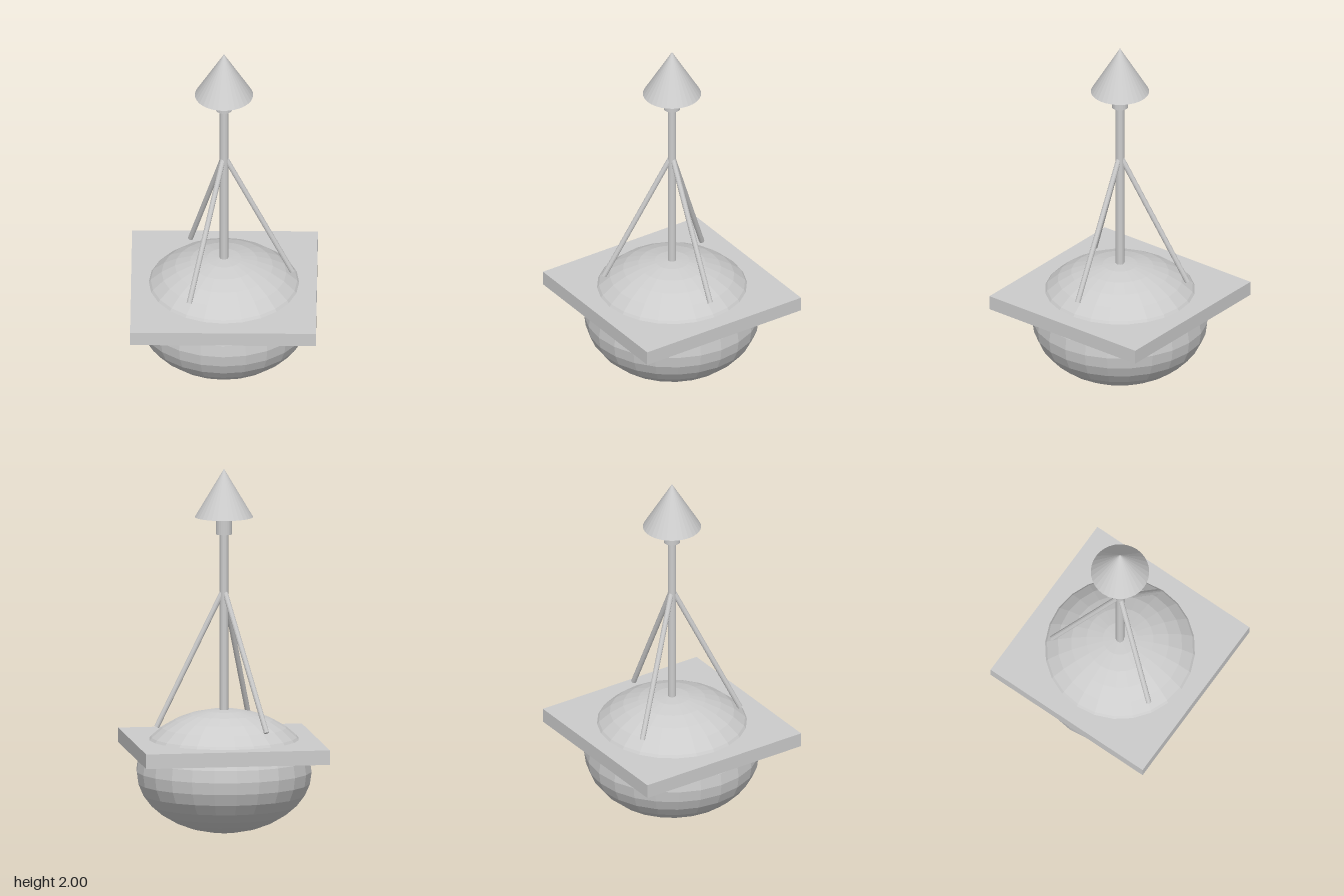
import * as THREE from 'three';

export function createModel() {
  const group = new THREE.Group();
  const grey = new THREE.MeshStandardMaterial({ color: 0xcccccc, flatShading: true });
  grey.name = 'light grey';

  const add = (name, geometry, y = 0) => {
    const mesh = new THREE.Mesh(geometry, grey);
    mesh.name = name;
    mesh.position.y = y;
    group.add(mesh);
    return mesh;
  };

  // Flattened float body with a square deck around it
  add('floatBody', new THREE.SphereGeometry(1, 24, 16).scale(0.48, 0.338, 0.48), 0.338);
  add('squareDeck', new THREE.BoxGeometry(1.012, 0.08, 1.012), 0.472);

  // Mast, collar and conical topmark
  add('mast', new THREE.CylinderGeometry(0.0235, 0.0235, 1.05, 16), 1.135);
  add('collar', new THREE.CylinderGeometry(0.045, 0.045, 0.1, 24), 1.69);
  add('coneTop', new THREE.ConeGeometry(0.159, 0.265, 32), 1.8675);

  // Three struts leaning from the mast out to the body
  const top = new THREE.Vector3(0, 1.34, 0);
  for (let i = 0; i < 3; i++) {
    const a = (i * Math.PI * 2) / 3;
    const foot = new THREE.Vector3(0.371 * Math.cos(a), 0.587, 0.371 * Math.sin(a));
    const dir = top.clone().sub(foot);
    const strut = add('strut' + (i + 1), new THREE.CylinderGeometry(0.0145, 0.0145, dir.length(), 12));
    strut.position.copy(top).add(foot).multiplyScalar(0.5);
    strut.quaternion.setFromUnitVectors(new THREE.Vector3(0, 1, 0), dir.normalize());
  }

  return group;
}
